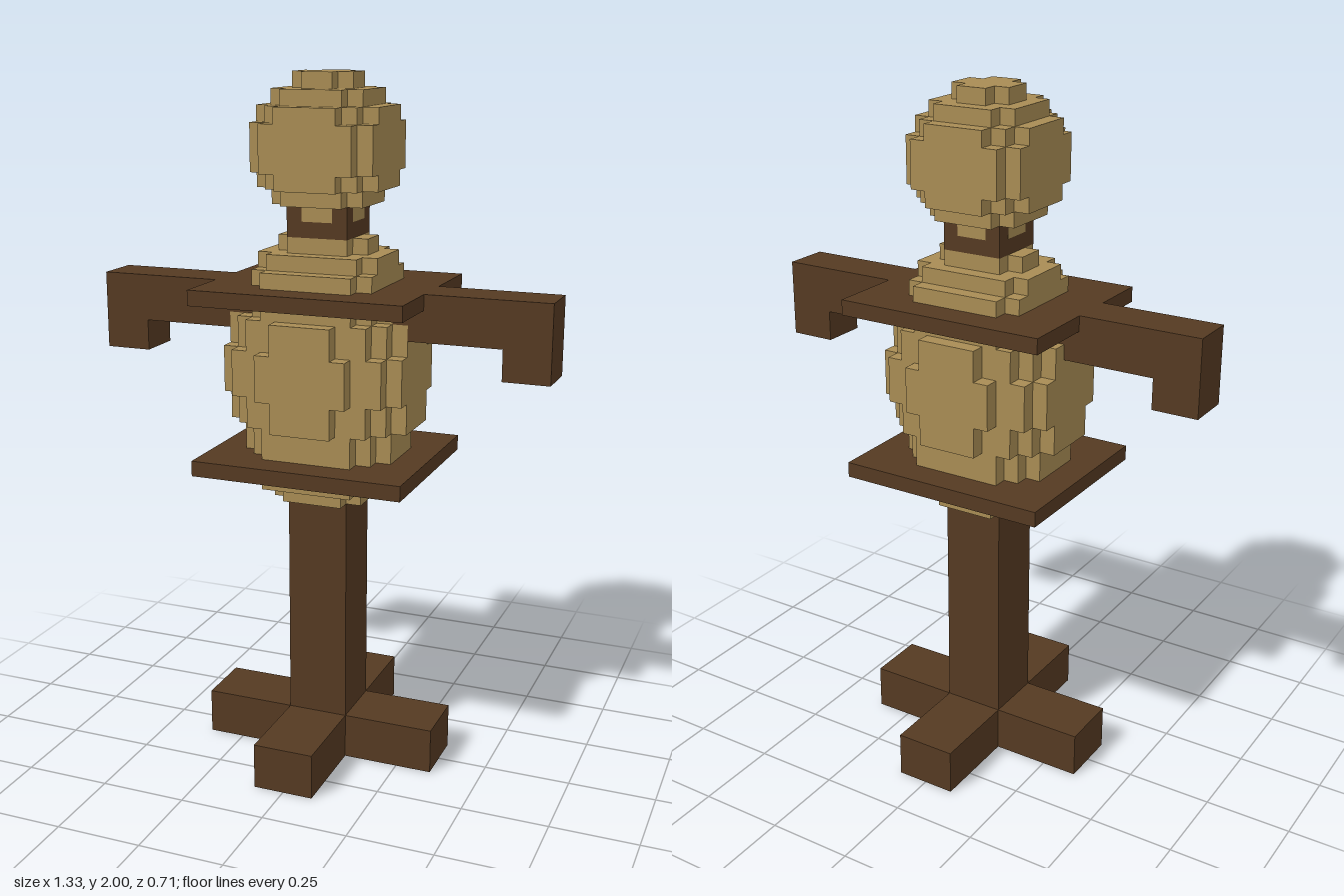
import * as THREE from 'three';

const U = 2 / 45; // one block

const wood = new THREE.MeshStandardMaterial({ color: 0x553a22 });
wood.name = 'dark wood';
const straw = new THREE.MeshStandardMaterial({ color: 0xa88c54 });
straw.name = 'straw';

// Box given by its limits in blocks
function block(name, x0, x1, y0, y1, z0, z1) {
  const g = new THREE.BoxGeometry((x1 - x0) * U, (y1 - y0) * U, (z1 - z0) * U);
  g.translate((x0 + x1) / 2 * U, (y0 + y1) / 2 * U, (z0 + z1) / 2 * U);
  const m = new THREE.Mesh(g, wood);
  m.name = name;
  return m;
}

// Flat layer with a stepped round outline; steps are [halfX, halfZ] corners of one quadrant
function layer(name, y0, y1, steps, grow = 1) {
  const q = [];
  steps.forEach(([x, z], i) => {
    q.push([x, z]);
    if (i < steps.length - 1) q.push([steps[i + 1][0], z]);
  });
  const r = [...q].reverse();
  const outline = [
    ...q,
    ...r.map(([x, z]) => [-x, z]),
    ...q.map(([x, z]) => [-x, -z]),
    ...r.map(([x, z]) => [x, -z]),
  ].map(([x, z]) => new THREE.Vector2(x * U * grow, z * U * grow));
  const g = new THREE.ExtrudeGeometry(new THREE.Shape(outline), { depth: (y1 - y0) * U, bevelEnabled: false });
  g.rotateX(-Math.PI / 2).translate(0, y0 * U, 0);
  const m = new THREE.Mesh(g, straw);
  m.name = name;
  return m;
}

function group(name, ...parts) {
  const g = new THREE.Group();
  g.name = name;
  g.add(...parts);
  return g;
}

export function createModel() {
  // Crossed feet, pole and neck
  const stand = group('stand',
    block('footBarX', -8, 8, 0, 3, -2, 2),
    block('footBarZ', -2, 2, 0, 3, -8, 8),
    block('pole', -2, 2, 3, 18, -2, 2),
    block('neck', -2, 2, 35, 37, -2, 2));

  // Boards above and below the torso
  const boards = group('boards',
    block('lowerBoard', -7, 7, 20, 21, -6, 6),
    block('upperBoard', -7, 7, 31, 32, -6, 6));

  // Arms with hanging hands, set slightly forward
  const arms = group('arms', block('crossArm', -15, 15, 29, 32, -1, 2));
  for (const s of [-1, 1]) {
    arms.add(block(s > 0 ? 'leftHand' : 'rightHand', s * 13.5 - 1.5, s * 13.5 + 1.5, 27, 29, -1, 2));
  }

  // Rounded straw torso
  const wide = [[6, 2], [5, 3], [4, 4], [2, 5]];
  const torso = group('torso', ...[
    [18, 19, [[3, 2], [2, 3]]],
    [19, 20, [[4, 3], [3, 4]]],
    [21, 23, [[5, 2], [4, 3], [3, 4]]],
    [23, 25, wide],
    [25, 28, [[6, 3], [5, 4], [3, 5]]],
    [28, 30, wide],
    [30, 31, [[5, 2], [4, 3], [3, 4]]],
    [32, 33, [[4, 3], [3, 4]]],
    [33, 34, [[4, 2], [3, 3]]],
    [34, 35, [[3, 1], [2, 2]]],
  ].map(([a, b, s]) => layer('torsoLayer', a, b, s)));

  // Rounded straw head; the chin sits just proud of the neck
  const shoulder = [[4, 2], [3, 3], [2, 4]];
  const head = group('head',
    layer('chin', 36, 37, [[2, 1], [1, 2]], 1.01),
    ...[
      [37, 38, [[3, 2], [2, 3]]],
      [38, 39, shoulder],
      [39, 42, [[4, 3], [3, 4]]],
      [42, 43, shoulder],
      [43, 44, [[3, 2], [2, 3]]],
      [44, 45, [[2, 1], [1, 2]]],
    ].map(([a, b, s]) => layer('headLayer', a, b, s)));

  return group('trainingDummy', stand, boards, arms, torso, head);
}
